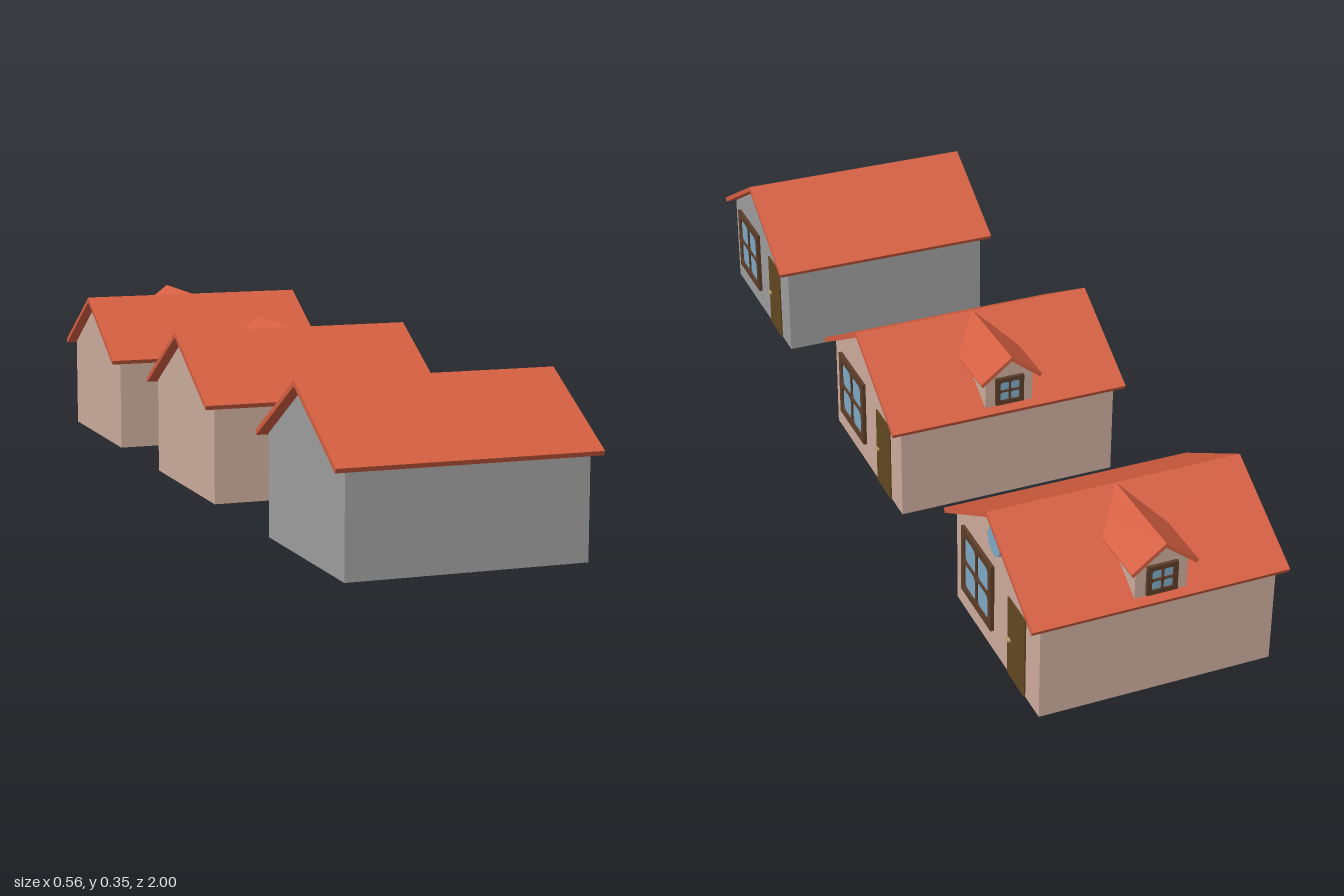
import * as THREE from 'three';

const mat = (name, color) => {
  const m = new THREE.MeshStandardMaterial({ color });
  m.name = name;
  return m;
};

export function createModel() {
  const roofMat = mat('roof tile red', 0xd55f41);
  const greyMat = mat('grey plaster', 0x9f9f9f);
  const pinkMat = mat('pink plaster', 0xcdad9d);
  const frameMat = mat('window frame brown', 0x5c3d29);
  const doorMat = mat('door brown', 0x634820);
  const glassMat = mat('glass blue', 0x7fabc6);
  const handleMat = mat('handle brass', 0xb8a070);

  const add = (parent, name, geometry, material, x = 0, y = 0, z = 0) => {
    const mesh = new THREE.Mesh(geometry, material);
    mesh.name = name;
    mesh.position.set(x, y, z);
    parent.add(mesh);
    return mesh;
  };
  const extrude = (shape, depth) =>
    new THREE.ExtrudeGeometry(shape, { depth, bevelEnabled: false, curveSegments: 4 });
  const outline = (points) => new THREE.Shape(points.map(([x, y]) => new THREE.Vector2(x, y)));

  // Five-sided wall section
  const gable = (half, base, eave, apex) =>
    outline([[-half, base], [half, base], [half, eave], [0, apex], [-half, eave]]);

  // Roof slab section: two slopes with square-cut eaves
  const chevron = (half, eave, apex, thick, inset) => outline([
    [half, eave], [0, apex], [-half, eave],
    [-half + inset, eave - thick * 0.8], [0, apex - thick], [half - inset, eave - thick * 0.8],
  ]);

  // Rectangular pane opening with rounded corners
  const pane = (x, y, w, h, r) => {
    const p = new THREE.Path();
    p.moveTo(x + r, y);
    p.lineTo(x + w - r, y);
    p.quadraticCurveTo(x + w, y, x + w, y + r);
    p.lineTo(x + w, y + h - r);
    p.quadraticCurveTo(x + w, y + h, x + w - r, y + h);
    p.lineTo(x + r, y + h);
    p.quadraticCurveTo(x, y + h, x, y + h - r);
    p.lineTo(x, y + r);
    p.quadraticCurveTo(x, y, x + r, y);
    return p;
  };

  // Four-pane window standing on a wall that faces +z
  const addWindow = (parent, x, y, z, w, h, border, bar) => {
    const window = new THREE.Group();
    window.name = 'window';
    window.position.set(x, y, z);
    const frame = outline([[-w / 2, -h / 2], [w / 2, -h / 2], [w / 2, h / 2], [-w / 2, h / 2]]);
    const pw = w / 2 - border - bar / 2;
    const ph = h / 2 - border - bar / 2;
    for (const px of [-w / 2 + border, bar / 2]) {
      for (const py of [-h / 2 + border, bar / 2]) {
        frame.holes.push(pane(px, py, pw, ph, pw * 0.25));
      }
    }
    add(window, 'windowFrame', extrude(frame, 0.008), frameMat);
    add(window, 'windowGlass', new THREE.BoxGeometry(w - border, h - border, 0.004), glassMat, 0, 0, 0.002);
    parent.add(window);
  };

  // Dormer along local +z, its ridge level with the main ridge
  const addDormer = (house, wallMat) => {
    const dormer = new THREE.Group();
    dormer.name = 'dormer';
    dormer.rotation.y = Math.PI / 2;
    add(dormer, 'dormerWalls', extrude(gable(0.056, 0.215, 0.3, 0.345), 0.193), wallMat, 0, 0, 0.02);
    add(dormer, 'dormerRoof', extrude(chevron(0.072, 0.3, 0.355, 0.01, 0.004), 0.228), roofMat);
    addWindow(dormer, 0, 0.268, 0.213, 0.066, 0.066, 0.01, 0.004);
    house.add(dormer);
  };

  // A house with its door gable facing local +z
  const makeHouse = (name, wallMat, hasDormer, hasRoundWindow) => {
    const house = new THREE.Group();
    house.name = name;
    const front = 0.254;
    add(house, 'walls', extrude(gable(0.214, 0, 0.216, 0.343), front * 2), wallMat, 0, 0, -front);
    add(house, 'roof', extrude(chevron(0.229, 0.221, 0.355, 0.012, 0.005), 0.555), roofMat, 0, 0, -0.2775);
    addWindow(house, -0.094, 0.129, front, 0.16, 0.158, 0.016, 0.006);
    add(house, 'door', new THREE.BoxGeometry(0.086, 0.187, 0.008), doorMat, 0.104, 0.0935, front - 0.001);
    add(house, 'doorHandle', new THREE.BoxGeometry(0.012, 0.005, 0.006), handleMat, 0.073, 0.09, front + 0.006);
    if (hasDormer) addDormer(house, wallMat);
    if (hasRoundWindow) {
      const disc = new THREE.CylinderGeometry(0.032, 0.032, 0.008, 24).rotateX(Math.PI / 2);
      add(house, 'roundWindow', disc, glassMat, -0.004, 0.278, front + 0.002);
    }
    // Turn the door gable to the model's left side
    house.rotation.y = Math.PI / 2;
    return house;
  };

  const model = new THREE.Group();
  model.name = 'houseRow';
  const houses = [
    ['plainHouse', greyMat, false, false, 0.771],
    ['dormerHouse', pinkMat, true, false, -0.015],
    ['roundWindowHouse', pinkMat, true, true, -0.771],
  ];
  for (const [name, wallMat, hasDormer, hasRound, z] of houses) {
    const house = makeHouse(name, wallMat, hasDormer, hasRound);
    house.position.z = z;
    model.add(house);
  }
  return model;
}
